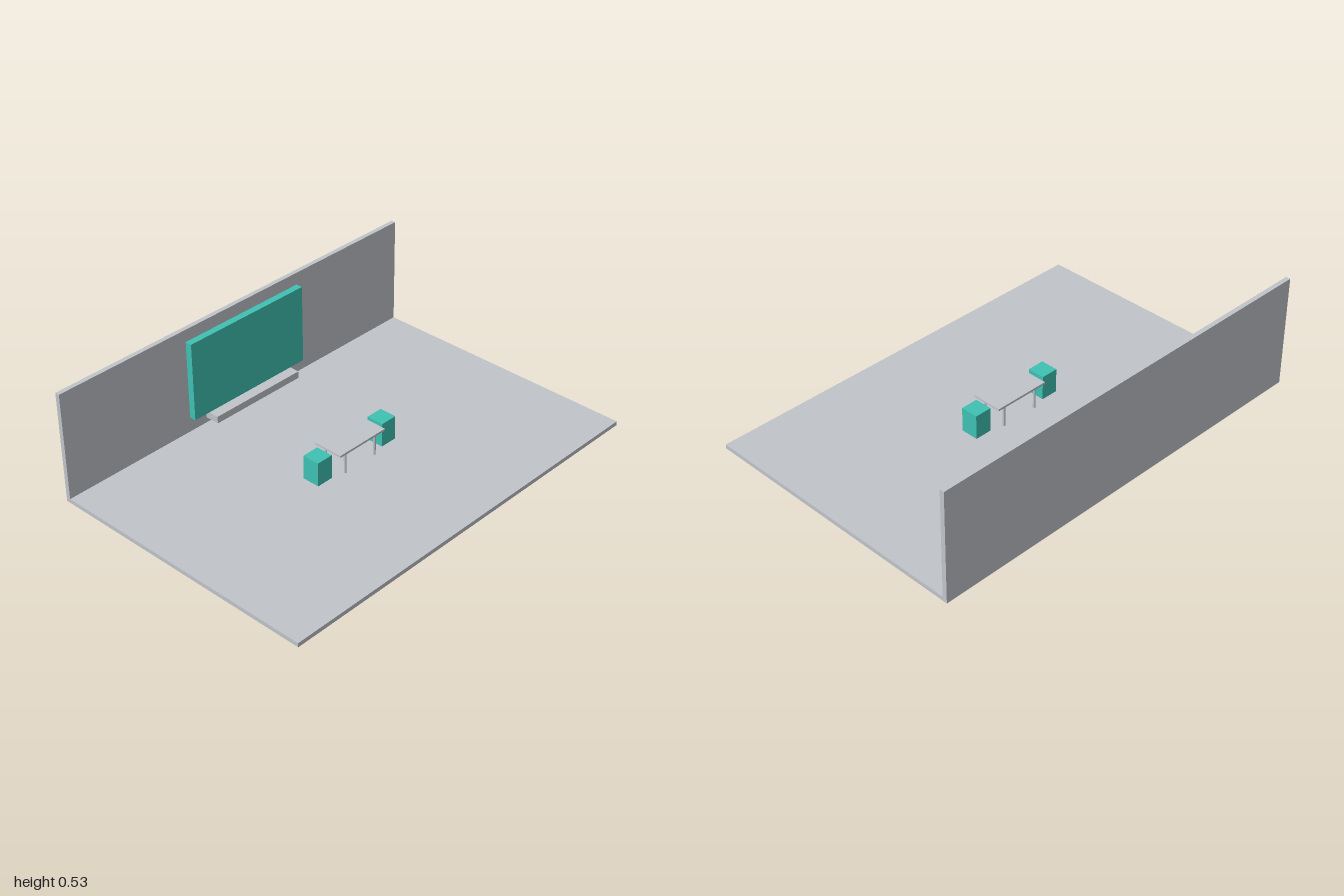
import * as THREE from 'three';

export function createModel() {
  const model = new THREE.Group();
  model.name = 'room';

  const grey = new THREE.MeshStandardMaterial({ color: 0xc0c4c9 });
  grey.name = 'light grey';
  const teal = new THREE.MeshStandardMaterial({ color: 0x3fc1b2 });
  teal.name = 'teal';

  // Box given by its lower and upper limits on each axis
  function box(name, material, [x0, x1], [y0, y1], [z0, z1], parent = model) {
    const mesh = new THREE.Mesh(new THREE.BoxGeometry(x1 - x0, y1 - y0, z1 - z0), material);
    mesh.position.set((x0 + x1) / 2, (y0 + y1) / 2, (z0 + z1) / 2);
    mesh.name = name;
    parent.add(mesh);
    return mesh;
  }

  // Room shell
  const floorTop = 0.02;
  box('floor', grey, [-1, 1], [0, floorTop], [-0.667, 0.667]);
  box('backWall', grey, [-1, 1], [floorTop, 0.533], [-0.667, -0.645]);

  // Display panel with a shelf below it
  box('screen', teal, [-0.333, 0.333], [0.102, 0.483], [-0.634, -0.601]);
  box('shelf', grey, [-0.25, 0.25], [0.068, 0.102], [-0.622, -0.55]);

  // Table
  const table = new THREE.Group();
  table.name = 'table';
  model.add(table);
  const topY = 0.136, underside = 0.126;
  box('tableTop', grey, [-0.138, 0.138], [underside, topY], [-0.073, 0.073], table);
  const legGeometry = new THREE.CylinderGeometry(0.006, 0.006, underside - floorTop, 16);
  for (const x of [-0.091, 0.091]) {
    for (const z of [-0.056, 0.056]) {
      const leg = new THREE.Mesh(legGeometry, grey);
      leg.position.set(x, (underside + floorTop) / 2, z);
      leg.name = 'tableLeg';
      table.add(leg);
    }
  }

  // Block seats at both ends of the table
  for (const [side, x] of [['right', -0.199], ['left', 0.197]]) {
    box(side + 'Seat', teal, [x - 0.0415, x + 0.0415], [floorTop, 0.136], [-0.042, 0.042]);
  }

  return model;
}
